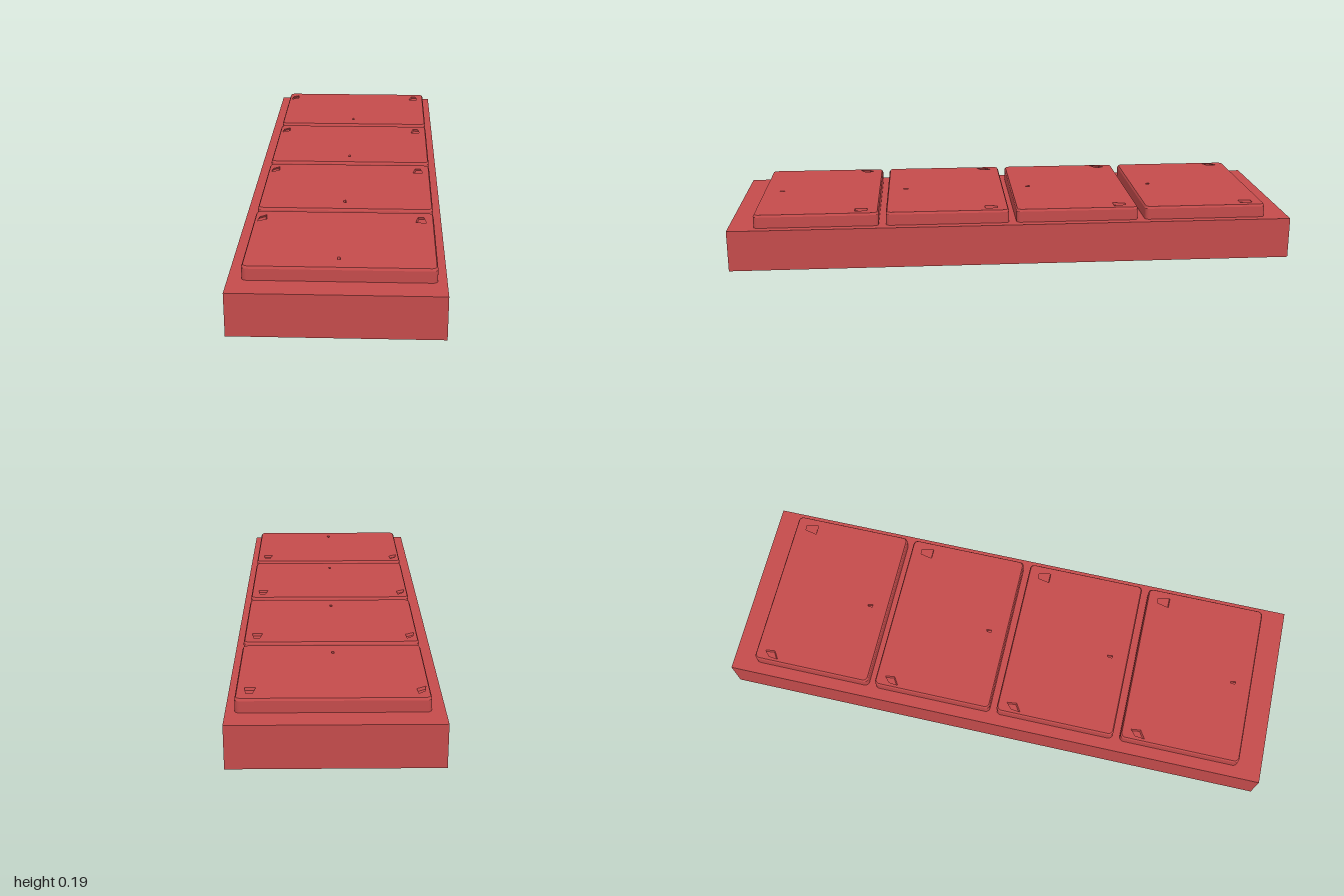
import * as THREE from 'three';

const BASE = { w: 0.674, h: 0.146, d: 2 };
const PAD = { w: 0.602, h: 0.047, d: 0.437, r: 0.016, bevel: 0.008 };
const DENT_DEPTH = 0.008;

function polygon(points, Type = THREE.Shape) {
  return new Type(points.map(([x, y]) => new THREE.Vector2(x, y)));
}

function roundedRect(w, d, r) {
  const s = new THREE.Shape();
  const x = w / 2, y = d / 2;
  s.absarc(x - r, y - r, r, 0, Math.PI / 2);
  s.absarc(-x + r, y - r, r, Math.PI / 2, Math.PI);
  s.absarc(-x + r, -y + r, r, Math.PI, Math.PI * 1.5);
  s.absarc(x - r, -y + r, r, Math.PI * 1.5, Math.PI * 2);
  s.closePath();
  return s;
}

// Small sunken marks in the pad top, with y pointing to the back
const DENTS = [
  [[-0.292, 0.133], [-0.262, 0.152], [-0.266, 0.188], [-0.288, 0.168]],
  [[0.242, 0.137], [0.278, 0.137], [0.271, 0.182], [0.251, 0.182]],
  [[-0.008, -0.162], [0.002, -0.162], [-0.001, -0.142], [-0.008, -0.146]],
];

// Pad block with its upper rim drawn in and the marks cut into it
function padGeometry() {
  const shape = roundedRect(PAD.w, PAD.d, PAD.r);
  for (const d of DENTS) shape.holes.push(polygon(d, THREE.Path));
  const steps = 6;
  const geo = new THREE.ExtrudeGeometry(shape, {
    depth: PAD.h, steps, bevelEnabled: false, curveSegments: 5,
  });
  const p = geo.attributes.position;
  for (let i = 0; i < p.count; i++) {
    if (p.getZ(i) > PAD.h - 1e-5) {
      p.setX(i, p.getX(i) * (1 - PAD.bevel / PAD.w));
      p.setY(i, p.getY(i) * (1 - PAD.bevel / PAD.d));
    }
  }
  geo.computeVertexNormals();
  return geo.rotateX(-Math.PI / 2);
}

export function createModel() {
  const model = new THREE.Group();
  model.name = 'paddedBlock';
  const red = new THREE.MeshStandardMaterial({ color: 0xc44b4b });

  // Long base slab
  const base = new THREE.Mesh(new THREE.BoxGeometry(BASE.w, BASE.h, BASE.d), red);
  base.name = 'base';
  base.position.y = BASE.h / 2;
  model.add(base);

  // Four equal pads in a row
  const padGeo = padGeometry();
  const floorGeo = new THREE.ShapeGeometry(DENTS.map((d) => polygon(d)));
  floorGeo.rotateX(-Math.PI / 2);
  for (let i = 0; i < 4; i++) {
    const group = new THREE.Group();
    group.name = `pad${i + 1}`;
    const pad = new THREE.Mesh(padGeo, red);
    pad.name = 'padBlock';
    const floors = new THREE.Mesh(floorGeo, red);
    floors.name = 'dentFloors';
    floors.position.y = PAD.h - DENT_DEPTH;
    group.add(pad, floors);
    group.position.set(0.007, BASE.h, -0.696 + i * 0.463);
    model.add(group);
  }
  return model;
}
